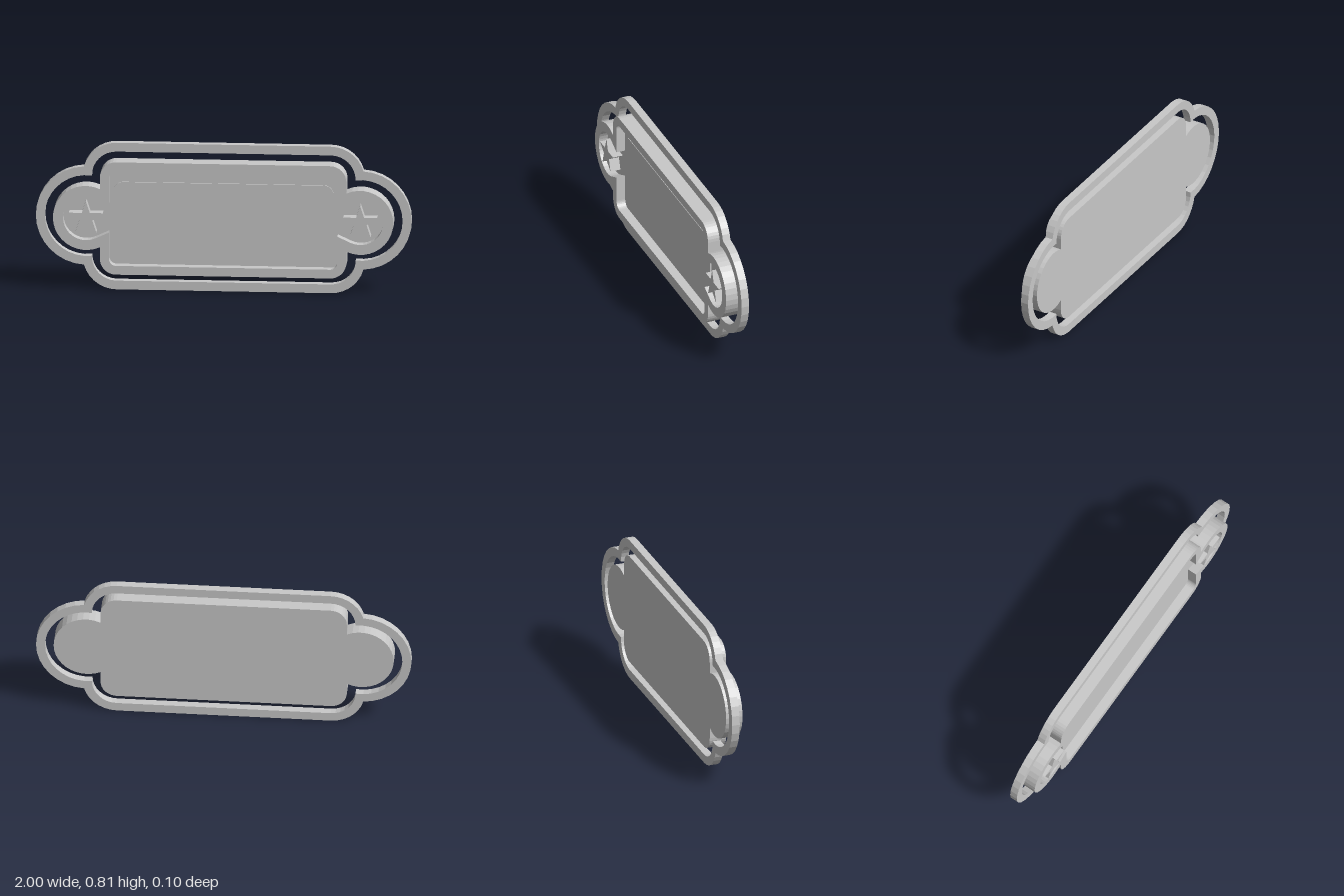
import * as THREE from 'three';

const MID = 0.4025;                    // height of the horizontal symmetry line
const LOBE_X = 0.73;                   // centre of the round end lobes
const CORNER_X = 0.57, CORNER_Y = 0.2225; // shared centre of the corner arcs
const STEP = 0.185;                    // angle covered by one facet

// Points on an arc from angle a to angle b
function arc(cx, cy, r, a, b) {
  const n = Math.max(5, Math.round(Math.abs(b - a) / STEP));
  return Array.from({ length: n + 1 }, (_, i) => {
    const t = a + (b - a) * i / n;
    return new THREE.Vector2(cx + r * Math.cos(t), cy + r * Math.sin(t));
  });
}

// Mirror a quarter outline (top to right) into a closed clockwise loop
function mirrorQuarter(q) {
  const flip = (pts, sx, sy) => pts.map(p => new THREE.Vector2(p.x * sx, p.y * sy));
  const back = [...q].reverse();
  const loop = [...q, ...flip(back, 1, -1), ...flip(q, -1, -1), ...flip(back, -1, 1)];
  return loop.filter((p, i) => p.distanceTo(loop[(i + 1) % loop.length]) > 1e-5);
}

// Rounded rectangle joined with a round lobe at each end, shrunk by d
function plaqueOutline(d, notchAngle) {
  const r = 0.18 - d, R = 0.27 - d;
  const notchX = CORNER_X + r * Math.cos(notchAngle);
  return mirrorQuarter([
    ...arc(CORNER_X, CORNER_Y, r, Math.PI / 2, notchAngle),
    ...arc(LOBE_X, 0, R, Math.acos((notchX - LOBE_X) / R), 0),
  ]);
}

// Recess: rectangle opening through a flared neck into each lobe
function recessOutline() {
  return mirrorQuarter([
    ...arc(CORNER_X, CORNER_Y, 0.038, Math.PI / 2, 0),
    new THREE.Vector2(0.608, 0.078),
    ...arc(LOBE_X, 0, 0.122, THREE.MathUtils.degToRad(115), 0),
  ]);
}

function starOutline(R) {
  return Array.from({ length: 10 }, (_, i) => {
    const a = Math.PI / 2 - i * Math.PI / 5, r = i % 2 ? R * 0.382 : R;
    return new THREE.Vector2(r * Math.cos(a), r * Math.sin(a));
  });
}

export function createModel() {
  const group = new THREE.Group();
  const grey = new THREE.MeshStandardMaterial({ color: 0xc8c8c8 });
  grey.name = 'plain grey';

  // Extrude a clockwise outline between two depths; holes run the other way
  function slab(name, outline, z0, z1, hole, x = 0) {
    const shape = new THREE.Shape(outline);
    if (hole) shape.holes.push(new THREE.Path([...hole].reverse()));
    const geo = new THREE.ExtrudeGeometry(shape, { depth: z1 - z0, bevelEnabled: false });
    const mesh = new THREE.Mesh(geo, grey);
    mesh.name = name;
    mesh.position.set(x, MID, z0);
    group.add(mesh);
  }

  const BACK = -0.05, FLOOR = -0.007, FRONT = 0.043;
  const plate = plaqueOutline(0.094, 0);

  // Loose outer frame around the plaque
  slab('outerFrame', plaqueOutline(0, 0.263), BACK, -0.007, plaqueOutline(0.048, 0));
  // Plaque: solid back and raised rim
  slab('backPlate', plate, BACK, FLOOR);
  slab('raisedRim', plate, FLOOR, FRONT, recessOutline());
  // Raised centre panel
  slab('centrePanel', mirrorQuarter(arc(0.535, 0.14, 0.05, Math.PI / 2, 0)), FLOOR, 0.001);
  // A star in each lobe
  for (const s of [1, -1]) {
    slab(s > 0 ? 'leftStar' : 'rightStar', starOutline(0.095), FLOOR, 0.05, null, s * LOBE_X);
  }
  return group;
}
